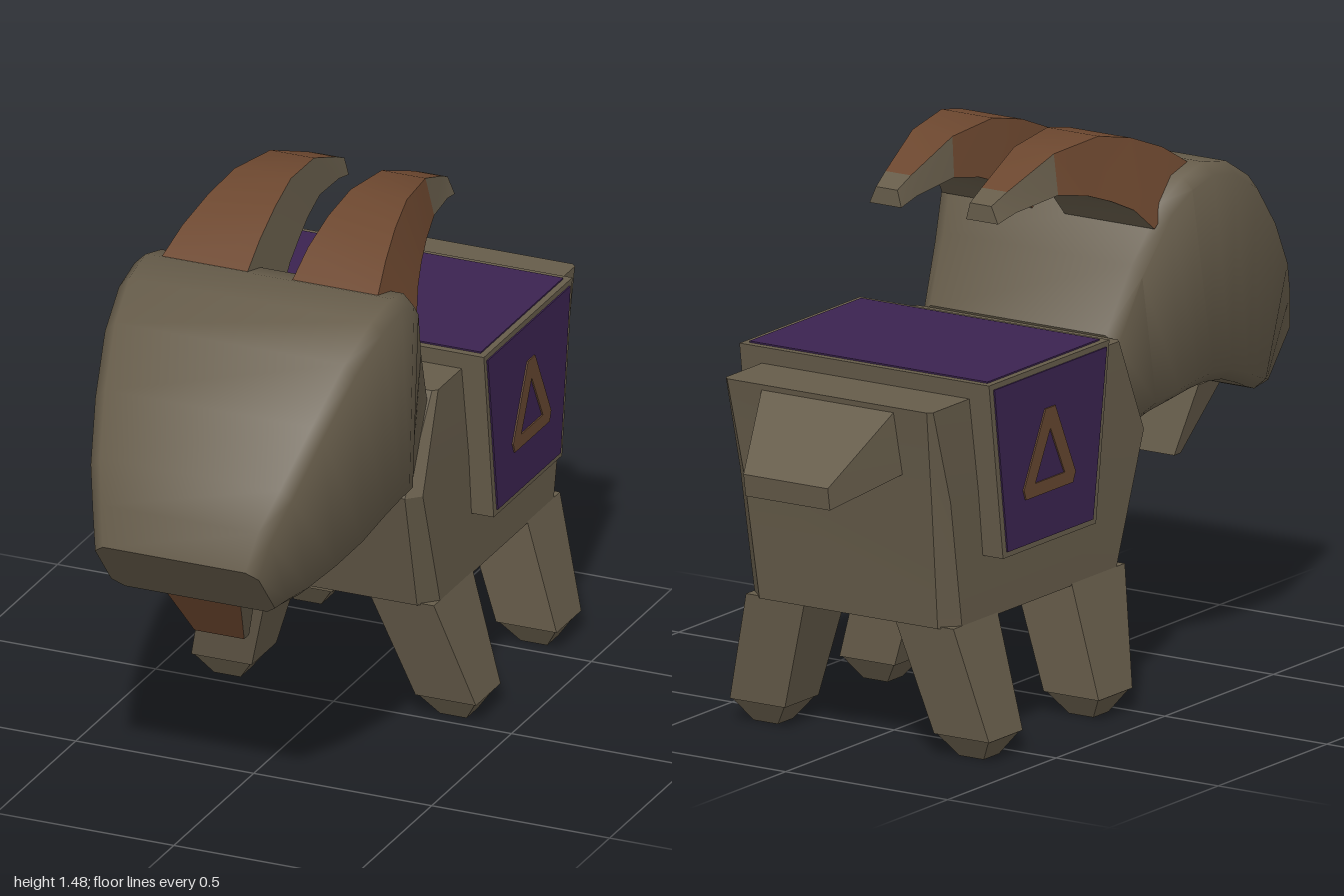
import * as THREE from 'three';
import { toCreasedNormals } from 'three/addons/utils/BufferGeometryUtils.js';

const mat = (name, color) => Object.assign(new THREE.MeshStandardMaterial({ color }), { name });

// Skin a list of rings (each a list of [x, y, z]) and cap both ends.
// pick(segment, side) gives a material index; caps use segment -1.
function loft(rings, crease = 0.3, pick = () => 0) {
  const tris = [];
  const n = rings[0].length;
  const quad = (a, b, c, d, m) => tris.push([a, b, c, m], [a, c, d, m]);
  for (let i = 0; i < rings.length - 1; i++) {
    for (let j = 0; j < n; j++) {
      const k = (j + 1) % n;
      quad(rings[i][j], rings[i][k], rings[i + 1][k], rings[i + 1][j], pick(i, j));
    }
  }
  const first = rings[0], last = rings[rings.length - 1];
  for (let j = 1; j < n - 1; j++) {
    tris.push([first[0], first[j + 1], first[j], pick(-1, 0)]);
    tris.push([last[0], last[j], last[j + 1], pick(-1, 1)]);
  }
  // Turn the faces outward if the enclosed volume is negative
  const V = (p) => new THREE.Vector3(...p);
  const origin = V(first[0]);
  let volume = 0;
  for (const [a, b, c] of tris) {
    volume += V(a).sub(origin).dot(V(b).sub(origin).cross(V(c).sub(origin)));
  }
  tris.sort((s, t) => s[3] - t[3]);
  const pos = [];
  for (const [a, b, c] of tris) pos.push(...a, ...(volume < 0 ? [...c, ...b] : [...b, ...c]));
  let g = new THREE.BufferGeometry();
  g.setAttribute('position', new THREE.Float32BufferAttribute(pos, 3));
  g = toCreasedNormals(g, crease);
  g.clearGroups();
  const count0 = tris.filter((t) => t[3] === 0).length * 3;
  if (count0) g.addGroup(0, count0, 0);
  if (count0 < tris.length * 3) g.addGroup(count0, tris.length * 3 - count0, 1);
  return g;
}

// Horizontal rectangle ring
const rect = (x0, x1, z0, z1, y) => [[x0, y, z0], [x1, y, z0], [x1, y, z1], [x0, y, z1]];

// Horizontal rectangle ring with cut corners
const cutRect = (w, z0, z1, y, c) => [
  [-w + c, y, z0], [w - c, y, z0], [w, y, z0 + c], [w, y, z1 - c],
  [w - c, y, z1], [-w + c, y, z1], [-w, y, z1 - c], [-w, y, z0 + c],
];

// Flat shape drawn in (z, y), extruded along x and centred on x = 0
function sideExtrude(points, depth, hole) {
  const toShape = (C, pts) => new C(pts.map(([z, y]) => new THREE.Vector2(-z, y)));
  const shape = toShape(THREE.Shape, points);
  if (hole) shape.holes.push(toShape(THREE.Path, hole));
  return new THREE.ExtrudeGeometry(shape, { depth, bevelEnabled: false })
    .translate(0, 0, -depth / 2).rotateY(Math.PI / 2);
}

export function createModel() {
  const group = new THREE.Group();
  const hide = mat('taupeHide', 0x665c4a);
  const brown = mat('hornBrown', 0x6c472f);
  const purple = mat('purpleCloth', 0x3b2350);
  const trim = mat('bronzeTrim', 0x664730);
  const add = (name, geometry, material) => {
    const m = new THREE.Mesh(geometry, material);
    m.name = name;
    group.add(m);
    return m;
  };

  // Torso, wider at the chest, with cut corners fading out toward the back line
  add('torso', loft([
    cutRect(0.32, -0.71, 0.09, 0.355, 0.045),
    cutRect(0.325, -0.76, 0.2, 0.7, 0.035),
    cutRect(0.32, -0.81, 0.07, 0.955, 0.012),
  ]), hide);

  // Head: sections from neck to muzzle, [topZ, topY, bottomZ, bottomY, halfWidth]
  const sections = [
    [0.07, 0.96, 0.195, 0.70, 0.30],
    [0.16, 1.13, 0.235, 0.725, 0.32],
    [0.25, 1.28, 0.29, 0.75, 0.352],
    [0.32, 1.335, 0.35, 0.768, 0.37],
    [0.41, 1.357, 0.41, 0.773, 0.375],
    [0.52, 1.335, 0.50, 0.76, 0.37],
    [0.65, 1.265, 0.60, 0.725, 0.352],
    [0.785, 1.137, 0.69, 0.69, 0.32],
    [0.90, 1.0, 0.78, 0.66, 0.283],
    [0.965, 0.90, 0.83, 0.645, 0.25],
    [1.0, 0.80, 0.86, 0.635, 0.23],
  ];
  add('head', loft(sections.map(([tz, ty, bz, by, w]) => {
    const c = 0.03, f = c / Math.hypot(tz - bz, ty - by);
    const at = (x, t) => [x, by + (ty - by) * t, bz + (tz - bz) * t];
    return [at(-w + c, 0), at(w - c, 0), at(w, f), at(w, 1 - f),
      at(w - c, 1), at(-w + c, 1), at(-w, 1 - f), at(-w, f)];
  }), 0.9), hide);

  // Horns: [topZ, topY, bottomZ, bottomY, innerX, outerX], with bare hide at the tips
  const hornRings = [
    [0.42, 1.34, 0.21, 1.22, 0.05, 0.328],
    [0.31, 1.41, 0.15, 1.28, 0.055, 0.305],
    [0.20, 1.455, 0.08, 1.315, 0.062, 0.283],
    [0.08, 1.483, 0.0, 1.345, 0.072, 0.262],
    [-0.09, 1.47, -0.10, 1.365, 0.083, 0.238],
    [-0.26, 1.402, -0.25, 1.347, 0.097, 0.208],
    [-0.318, 1.375, -0.318, 1.33, 0.1, 0.198],
  ];
  for (const s of [1, -1]) {
    const rings = hornRings.map(([tz, ty, bz, by, xi, xo]) => [
      [s * xi, by, bz], [s * xo, by, bz], [s * (xo - 0.02), ty, tz], [s * (xi + 0.012), ty, tz],
    ]);
    const paint = (i, side) => {
      if (i < 0 || side === 0) return 0;
      if (side === 2) return i < 5 ? 1 : 0;
      if (side === 3 && s < 0) return 0;
      return i < 4 ? 1 : 0;
    };
    add(s > 0 ? 'leftHorn' : 'rightHorn', loft(rings, 0.5, paint), [hide, brown]);
  }

  // Beard with a brown front
  add('beard', loft([
    rect(-0.115, 0.115, 0.73, 0.845, 0.66),
    rect(-0.07, 0.07, 0.685, 0.715, 0.476),
  ], 0.3, (i, side) => (i === 0 && side === 2 ? 1 : 0)), [hide, brown]);

  // Tail wedge
  add('tail', loft([
    [[-0.21, 0.955, -0.79], [0.21, 0.955, -0.79], [0.21, 0.77, -0.77], [-0.21, 0.77, -0.77]],
    [[-0.13, 0.77, -1], [0.13, 0.77, -1], [0.13, 0.71, -0.99], [-0.13, 0.71, -0.99]],
  ]), hide);

  // Splayed legs with tapered hooves
  for (const s of [1, -1]) {
    for (const [name, zTop, zFoot] of [['Front', [-0.16, 0.085], [-0.155, 0]], ['Back', [-0.705, -0.5], [-0.66, -0.505]]]) {
      const side = s > 0 ? 'left' : 'right';
      const mid = (zFoot[0] + zFoot[1]) / 2;
      add(side + name + 'Leg', loft([
        rect(s * 0.14, s * 0.32, ...zTop, 0.36),
        rect(s * 0.23, s * 0.4, ...zFoot, 0.06),
      ]), hide);
      add(side + name + 'Hoof', loft([
        rect(s * 0.235, s * 0.395, zFoot[0] + 0.005, zFoot[1] - 0.005, 0.06),
        rect(s * 0.28, s * 0.355, mid - 0.035, mid + 0.035, 0),
      ]), hide);
    }
  }

  // Saddle blanket slab, purple cloth faces and triangular trim
  add('blanket', sideExtrude([[-0.083, 1], [-0.145, 0.527], [-0.573, 0.527], [-0.638, 1]], 0.77), hide);
  const top = add('blanketTopCloth', new THREE.BoxGeometry(0.735, 0.006, 0.515), purple);
  top.position.set(0, 1.001, -0.361);
  const cloth = sideExtrude([[-0.1, 0.985], [-0.163, 0.542], [-0.557, 0.542], [-0.618, 0.985]], 0.006);
  const ring = sideExtrude(
    [[-0.343, 0.885], [-0.25, 0.69], [-0.262, 0.663], [-0.478, 0.663], [-0.488, 0.69], [-0.388, 0.885]], 0.006,
    [[-0.366, 0.83], [-0.3, 0.698], [-0.436, 0.698]]);
  for (const s of [1, -1]) {
    const side = s > 0 ? 'left' : 'right';
    add(side + 'Cloth', cloth, purple).position.x = s * 0.386;
    add(side + 'TriangleTrim', ring, trim).position.x = s * 0.39;
  }
  return group;
}
